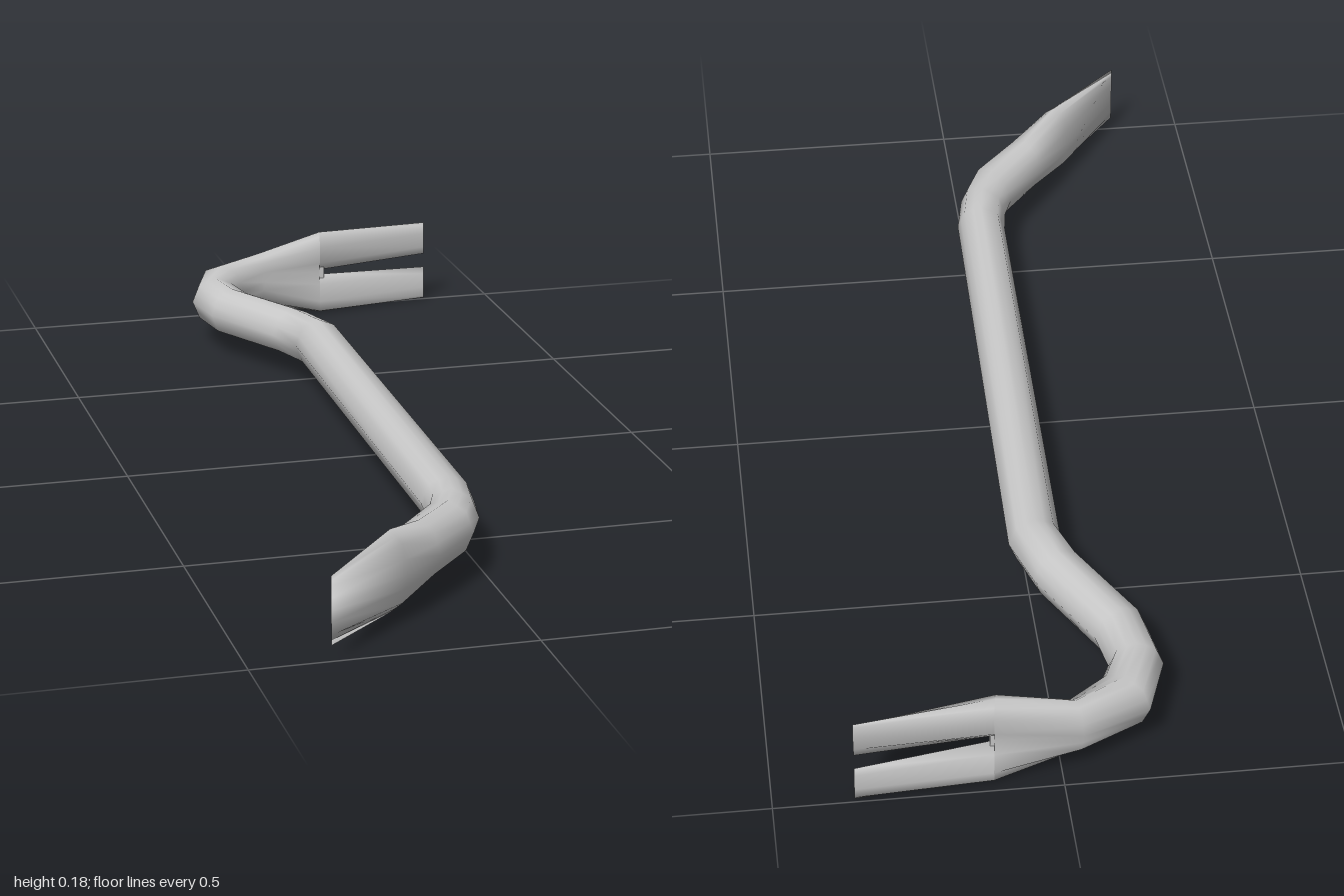
import * as THREE from 'three';
import { mergeVertices } from 'three/addons/utils/BufferGeometryUtils.js';

const MID = 0.09; // height of the bar's centre line

// Eight-sided section, with edge midpoints so it can blend into the fork
function octagon() {
  const pts = [];
  for (let i = 0; i < 16; i++) {
    const a = (i * Math.PI) / 8;
    const r = i % 2 ? Math.cos(Math.PI / 8) : 1;
    pts.push([r * Math.cos(a), r * Math.sin(a)]);
  }
  return pts;
}

// One claw lobe, fullest towards its outer side, from its lower outer corner
function lobe(centre, radius) {
  const pts = [];
  for (let i = 0; i < 8; i++) {
    const a = ((i - 1) * Math.PI) / 4;
    const u = Math.cos(a), v = Math.sin(a);
    pts.push([u, centre + radius * (v + 0.3 * (1 - v * v))]);
  }
  return pts;
}

// Two lobes joined by a thin waist
function doubleLobe(centre, radius) {
  const top = [[0.3, 0], ...lobe(centre, radius).slice(0, 7)];
  return [...top, ...top.map(([u, v]) => [-u, -v])];
}

// Skins rings of points, open at both ends
function loft(rings) {
  const n = rings[0].length;
  const index = [];
  for (let i = 0; i < rings.length - 1; i++) {
    for (let j = 0; j < n; j++) {
      const a = i * n + j, b = i * n + ((j + 1) % n);
      index.push(a, a + n, b, b, a + n, b + n);
    }
  }
  return surface(rings.flat(2), index);
}

// Flat face closing the far end of a loft
function endCap(ring) {
  const index = [];
  for (let j = 1; j < ring.length - 1; j++) index.push(0, j + 1, j);
  return surface(ring.flat(), index);
}

// Welded surface, so sides that meet in an edge shade as one
function surface(positions, index) {
  const geo = new THREE.BufferGeometry();
  geo.setAttribute('position', new THREE.Float32BufferAttribute(positions, 3));
  geo.setIndex(index);
  const welded = mergeVertices(geo, 1e-5);
  welded.computeVertexNormals();
  return welded;
}

// Places a section between the two plan edges (xl, zl) and (xr, zr)
function place([xl, zl, xr, zr], section, h = 1) {
  return section.map(([u, v]) => [
    (xl + xr) / 2 + (u * (xr - xl)) / 2,
    MID + v * h,
    (zl + zr) / 2 + (u * (zr - zl)) / 2,
  ]);
}

export function createModel() {
  const steel = new THREE.MeshStandardMaterial({ color: 0xc8c8c8 });
  steel.name = 'steel';
  const group = new THREE.Group();
  group.name = 'pryBar';
  const add = (name, geo) => {
    const mesh = new THREE.Mesh(geo, steel);
    mesh.name = name;
    group.add(mesh);
    return mesh;
  };

  // Plan edges and half height, from chisel edge to fork
  const stations = [
    [-0.36, 1.0, -0.36, 1.0, 0.061],
    [-0.242, 0.82, -0.195, 0.872, 0.075],
    [-0.173, 0.723, -0.115, 0.795, 0.054],
    [-0.1, 0.625, -0.03, 0.705, 0.05],
    [-0.083, 0.58, 0.002, 0.632, 0.05],
    [-0.076, 0.53, 0.018, 0.545, 0.05],
    [-0.063, -0.45, 0.033, -0.46, 0.05],
    [-0.09, -0.53, 0.0, -0.565, 0.05],
    [-0.18, -0.7, -0.087, -0.73, 0.05],
    [-0.197, -0.81, -0.1, -0.805, 0.05],
    [-0.157, -0.925, -0.075, -0.86, 0.051],
    [-0.035, -0.978, -0.015, -0.915, 0.055],
  ];
  const forkRoot = [0.12, -0.988, 0.112, -0.94];
  const clawTip = [0.36, -1.0, 0.358, -0.992];

  // Bar with the chisel end, bends and flared fork root
  const rings = stations.map((s) => place(s, octagon(), s[4]));
  rings.push(place(forkRoot, doubleLobe(0.047, 0.042)));
  add('bar', loft(rings));

  // Web closing the bottom of the slot
  add('slotWeb', new THREE.BoxGeometry(0.02, 0.024, 0.014)).position.set(0.115, MID, -0.964);

  // Two tapering claw prongs
  const flip = (section) => section.map(([u, v]) => [-u, -v]);
  const same = (section) => section;
  [['upper', same], ['lower', flip]].forEach(([side, turn]) => {
    const root = place(forkRoot, turn(lobe(0.047, 0.042)));
    const tip = place(clawTip, turn(lobe(0.05, 0.035)));
    add(side + 'Prong', loft([root, tip]));
    add(side + 'ProngTip', endCap(tip));
  });

  return group;
}
